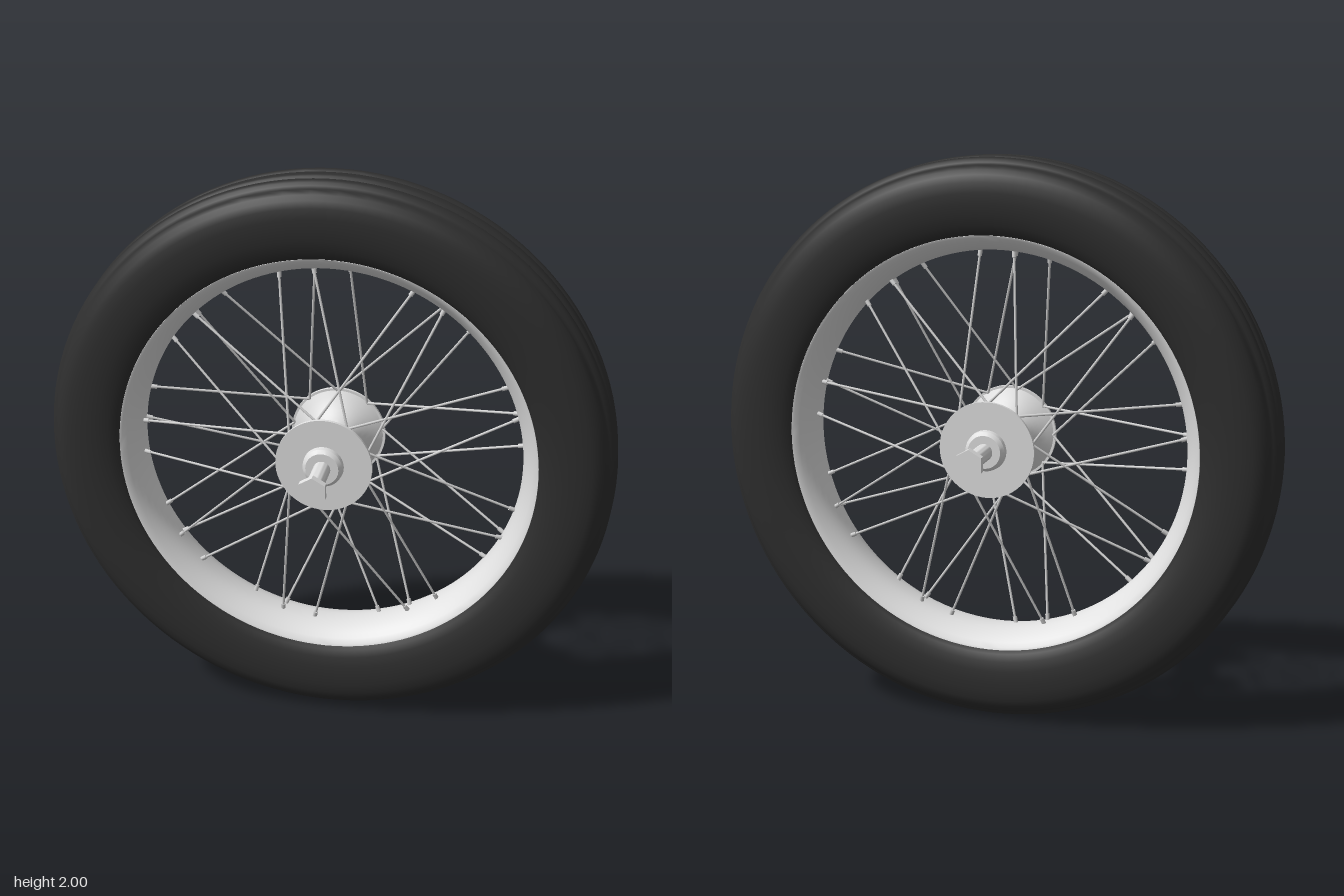
import * as THREE from 'three';
import { toCreasedNormals } from 'three/addons/utils/BufferGeometryUtils.js';

const mat = (name, color) => {
  const m = new THREE.MeshStandardMaterial({ color });
  m.name = name;
  return m;
};

// Revolve [radius, z] points around the z axis
function revolve(points, segments, crease = 0.6) {
  const g = new THREE.LatheGeometry(points.map(([r, z]) => new THREE.Vector2(r, z)), segments);
  return toCreasedNormals(g.rotateX(Math.PI / 2), crease);
}

// Profile mirrored in z, running from -z to +z; half is listed from the middle outward
const mirrored = (half) => [
  ...half.slice().reverse().map(([r, z]) => [r, -z]),
  ...half.filter(([, z]) => z > 0),
];

export function createModel() {
  const rubber = mat('rubber', 0x2e2e2e);
  const silver = mat('silver', 0xe0e0e0);
  const spokeMetal = mat('spokeMetal', 0xd0d0d0);

  const model = new THREE.Group();
  const wheel = new THREE.Group();
  wheel.name = 'wheel';
  wheel.position.y = 1;
  model.add(wheel);

  const add = (name, geometry, material, parent = wheel) => {
    const mesh = new THREE.Mesh(geometry, material);
    mesh.name = name;
    parent.add(mesh);
    return mesh;
  };

  // Tyre: tread with four soft grooves, round shoulders, sidewalls down to the bead
  const tyre = mirrored([
    [1, 0], [0.999, 0.014], [0.995, 0.023], [0.987, 0.029], [0.983, 0.035],
    [0.987, 0.041], [0.994, 0.047], [0.997, 0.057], [0.996, 0.07], [0.991, 0.081],
    [0.981, 0.088], [0.974, 0.094], [0.973, 0.101], [0.97, 0.109],
    [0.96, 0.12], [0.944, 0.134], [0.92, 0.144], [0.885, 0.149], [0.85, 0.15],
    [0.81, 0.147], [0.775, 0.138], [0.75, 0.127], [0.735, 0.114], [0.732, 0.1],
  ]);
  add('tyre', revolve([...tyre, tyre[0]], 128, 0.9), rubber);

  // Rim: bowed inner band with rolled edges
  const rimInner = [];
  for (let i = 0; i <= 16; i++) {
    const t = 1 - i / 8;
    rimInner.push([0.677 + 0.053 * Math.abs(t) ** 2.4, 0.115 * t]);
  }
  const rim = [[0.738, -0.118], [0.745, -0.108], [0.745, 0.108], [0.738, 0.118], ...rimInner, [0.738, -0.118]];
  add('rim', revolve(rim, 128, 0.8), silver);

  // Hub: waisted barrel flaring into two flat flanges
  const hub = new THREE.Group();
  hub.name = 'hub';
  wheel.add(hub);
  const barrel = [];
  for (let i = 0; i <= 20; i++) {
    const t = i / 10 - 1;
    barrel.push([0.065 + 0.1 * Math.abs(t) ** 2.6, 0.14 * t]);
  }
  add('hubBarrel', revolve(barrel, 48), silver, hub);

  for (const [side, s] of [['front', 1], ['back', -1]]) {
    const end = new THREE.Group();
    end.name = side + 'HubEnd';
    if (s < 0) end.rotation.y = Math.PI;
    hub.add(end);
    add('flange', revolve([[0, 0.138], [0.17, 0.138], [0.17, 0.15], [0, 0.15]], 64), silver, end);
    add('collar', revolve([[0.072, 0.148], [0.07, 0.168], [0.058, 0.18], [0, 0.18]], 40, 0.4), silver, end);
    add('axle', revolve([[0.03, 0.17], [0.03, 0.34]], 28), silver, end);
    // Pointed-top hexagonal nut
    const nut = new THREE.CylinderGeometry(0.052, 0.052, 0.026, 6).rotateX(Math.PI / 2);
    nut.translate(0, 0, 0.347);
    add('axleNut', toCreasedNormals(nut, 0.4), silver, end);
  }

  // Spokes: each flange hole sends one forward and one backward to the rim
  const spokes = new THREE.Group();
  spokes.name = 'spokes';
  wheel.add(spokes);
  const up = new THREE.Vector3(0, 1, 0);
  const polar = (deg, r, z) => {
    const a = THREE.MathUtils.degToRad(deg);
    return new THREE.Vector3(r * Math.cos(a), r * Math.sin(a), z);
  };
  const rod = (name, a, b, radius) => {
    const d = b.clone().sub(a);
    const mesh = add(name, new THREE.CylinderGeometry(radius, radius, d.length(), 8), spokeMetal, spokes);
    mesh.position.copy(a).add(b).multiplyScalar(0.5);
    mesh.quaternion.setFromUnitVectors(up, d.normalize());
  };
  for (const [s, offset] of [[1, 20], [-1, 10]]) {
    for (let i = 0; i < 9; i++) {
      const hole = offset + i * 40;
      for (const turn of [-35, 35]) {
        const a = polar(hole, 0.161, s * 0.134);
        const b = polar(hole + turn, 0.685, s * 0.018);
        rod('spoke', a, b, 0.0045);
        rod('spokeNipple', a.clone().lerp(b, 0.95), b, 0.008);
      }
    }
  }
  return model;
}
